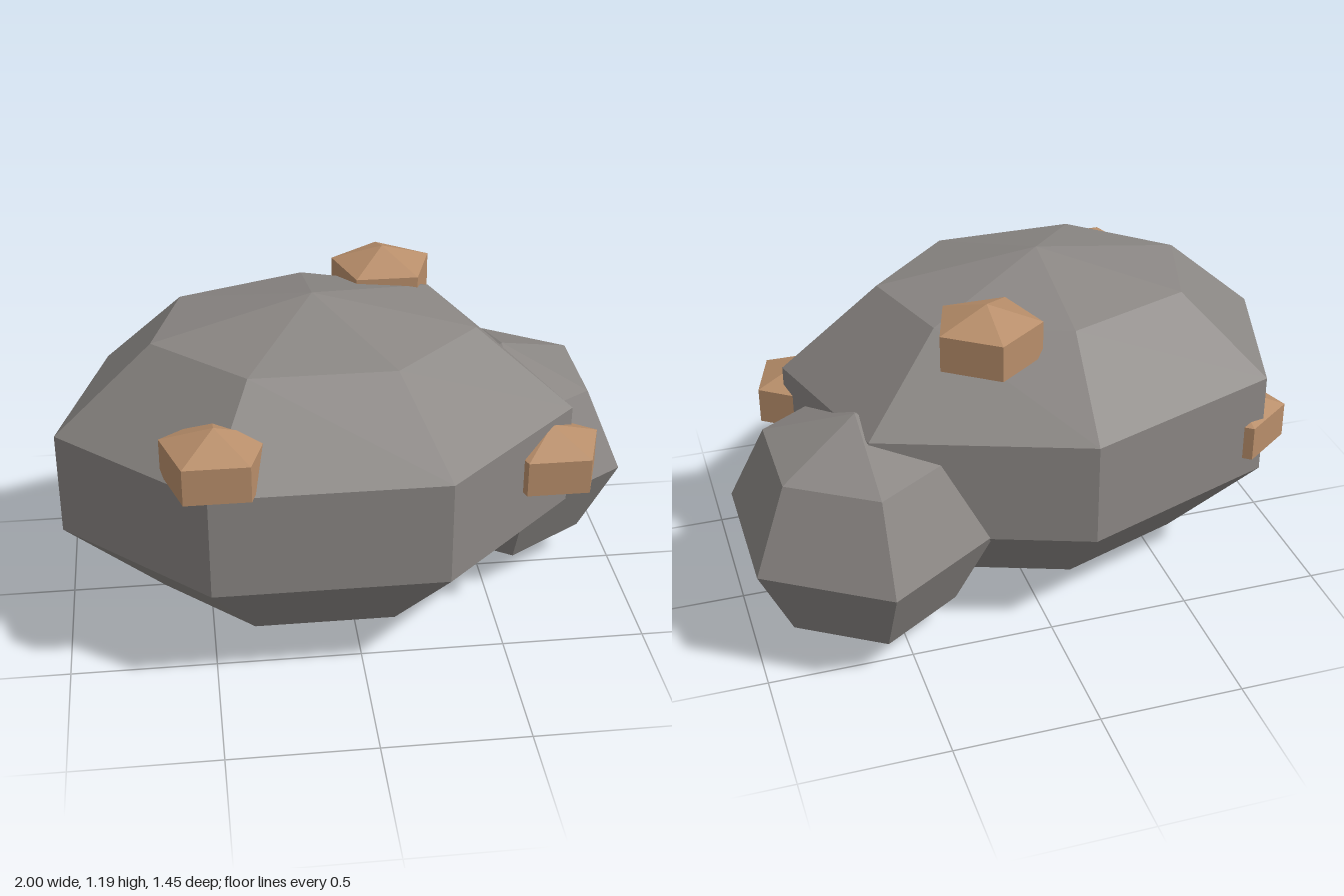
import * as THREE from 'three';

const rockGrey = new THREE.MeshStandardMaterial({ color: 0x8a8683, flatShading: true });
rockGrey.name = 'rockGrey';
const oreBrown = new THREE.MeshStandardMaterial({ color: 0xb88e6a, flatShading: true });
oreBrown.name = 'oreBrown';

// Low-poly squashed ball with one corner of each ring pointing to the back
function facetedBall(name, material, sides, rings, radii, position) {
  const geometry = new THREE.SphereGeometry(1, sides, rings, -Math.PI / 2).toNonIndexed();
  geometry.scale(...radii);
  geometry.computeVertexNormals();
  const mesh = new THREE.Mesh(geometry, material);
  mesh.name = name;
  mesh.position.set(...position);
  return mesh;
}

export function createModel() {
  const model = new THREE.Group();
  model.name = 'oreBoulder';

  // Boulders
  model.add(facetedBall('mainBoulder', rockGrey, 7, 5, [0.95, 0.595, 0.715], [-0.12, 0.595, 0.075]));
  model.add(facetedBall('sideBoulder', rockGrey, 6, 4, [0.462, 0.403, 0.515], [0.6, 0.415, -0.215]));

  // Ore nuggets set into the main boulder
  const nuggets = {
    topNugget: [0.165, 1.065, -0.288],
    leftNugget: [0.675, 0.632, 0.298],
    frontNugget: [-0.48, 0.85, 0.577],
    backNugget: [-0.77, 0.55, -0.218],
  };
  for (const [name, position] of Object.entries(nuggets)) {
    model.add(facetedBall(name, oreBrown, 5, 3, [0.211, 0.126, 0.211], position));
  }
  return model;
}
